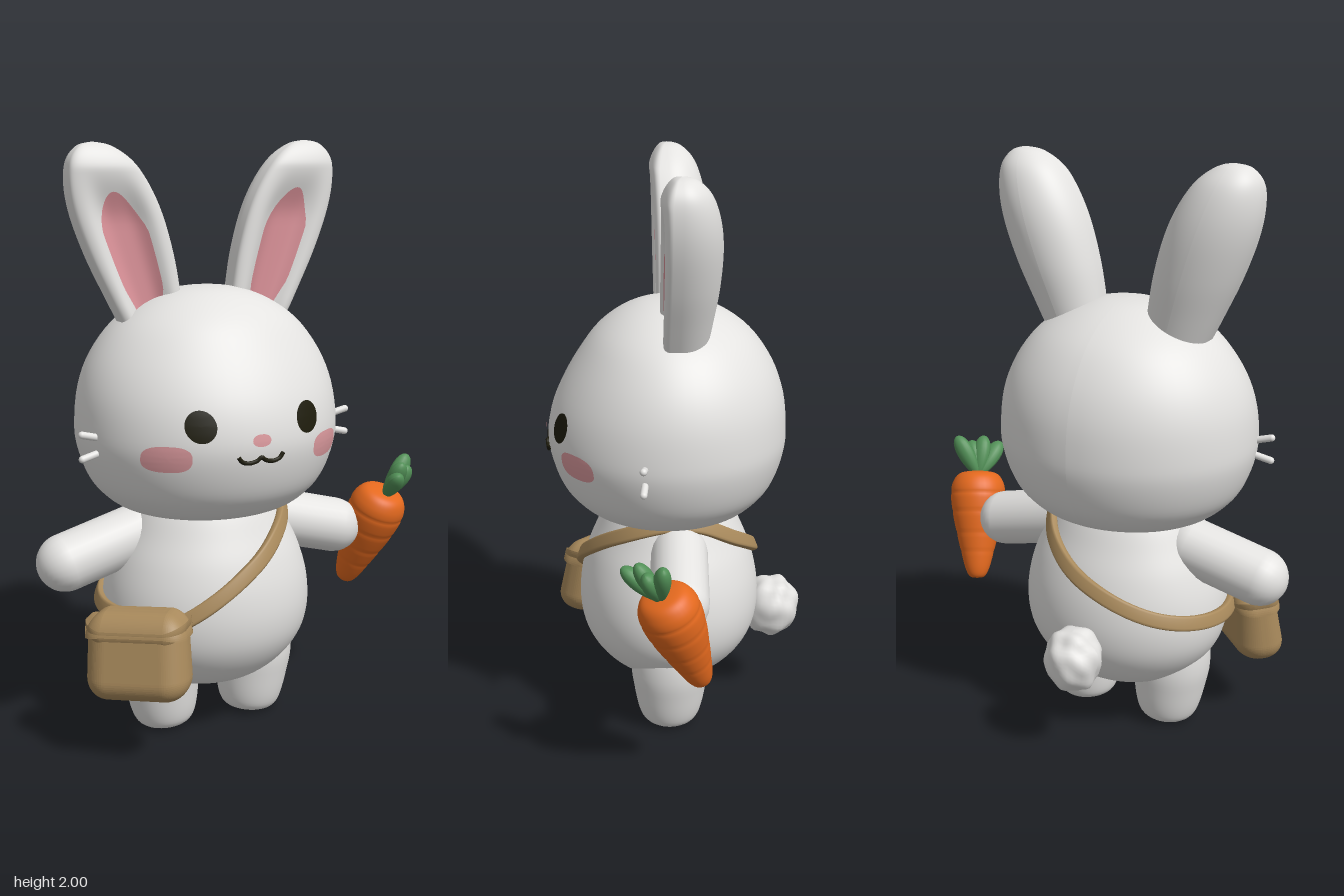
import * as THREE from 'three';
import { RoundedBoxGeometry } from 'three/addons/geometries/RoundedBoxGeometry.js';
import { ParametricGeometry } from 'three/addons/geometries/ParametricGeometry.js';

const V2 = (x, y) => new THREE.Vector2(x, y);
const V3 = (x, y, z) => new THREE.Vector3(x, y, z);
const UP = V3(0, 1, 0);

function material(name, color) {
  const m = new THREE.MeshStandardMaterial({ color });
  m.name = name;
  return m;
}

function add(parent, name, geometry, mat) {
  const mesh = new THREE.Mesh(geometry, mat);
  mesh.name = name;
  parent.add(mesh);
  return mesh;
}

// Smooth [radius, y] profile, listed from bottom to top
const profile = (pairs, n = 48) =>
  new THREE.SplineCurve(pairs.map(([r, y]) => V2(r, y))).getPoints(n).map(p => V2(Math.max(p.x, 0), p.y));

// Radius of a profile at height y
function radiusAt(points, y) {
  for (let i = 1; i < points.length; i++) {
    const a = points[i - 1], b = points[i];
    if (y <= b.y && b.y > a.y) return THREE.MathUtils.mapLinear(Math.max(y, a.y), a.y, b.y, a.x, b.x);
  }
  return points[points.length - 1].x;
}

// Move every vertex by a rule
function reshape(g, rule) {
  const p = g.attributes.position, v = V3();
  for (let i = 0; i < p.count; i++) {
    rule(v.fromBufferAttribute(p, i));
    p.setXYZ(i, v.x, v.y, v.z);
  }
  g.computeVertexNormals();
  return g;
}

const HEAD = profile([[0, 0.765], [0.19, 0.771], [0.3, 0.798], [0.37, 0.85], [0.412, 0.91], [0.443, 1.0], [0.45, 1.08],
  [0.437, 1.2], [0.395, 1.31], [0.32, 1.41], [0.22, 1.48], [0.11, 1.52], [0, 1.53]]);
const BODY = profile([[0, 0.148], [0.12, 0.157], [0.21, 0.188], [0.29, 0.25], [0.345, 0.33], [0.366, 0.42],
  [0.36, 0.52], [0.332, 0.62], [0.29, 0.71], [0.25, 0.79], [0.2, 0.86]]);
const EAR = profile([[0.1, 1.36], [0.125, 1.5], [0.145, 1.63], [0.151, 1.76], [0.138, 1.86], [0.106, 1.94], [0.055, 1.987], [0.002, 2.0]]);
const HEAD_Z = 0.025, HEAD_DEPTH = 0.922, BODY_Z = 0.02, BODY_DEPTH = 0.877;

// The forehead leans back above the cheeks
const lean = (z, y) => z > 0 ? z * (1 - 0.12 * THREE.MathUtils.smoothstep(y, 1.05, 1.4)) : z;
// Depth of the face at (x, y)
const faceZ = (x, y) => lean(HEAD_Z + HEAD_DEPTH * Math.sqrt(Math.max(radiusAt(HEAD, y) ** 2 - x * x, 0)), y);

// Thin patch that follows the face; power below 1 squares it off
function facePatch(cx, cy, rx, ry, power = 1, lift = 0.005) {
  const bend = t => Math.sign(t) * Math.abs(t) ** power;
  return reshape(new THREE.RingGeometry(0, 1, 40, 6), v => {
    const r = Math.hypot(v.x, v.y) || 1e-6;
    const x = cx + rx * r * bend(v.x / r), y = cy + ry * r * bend(v.y / r);
    v.set(x, y, faceZ(x, y) + lift);
  });
}

// Ear surface: c runs from -1 to 1 across its width, s is positive in front
function earPoint(side, y, c, s, target, lift = 0) {
  const w = radiusAt(EAR, y), cx = THREE.MathUtils.mapLinear(y, 1.36, 2, 0.172, 0.382);
  const dish = 0.045 * Math.exp(-((c / 0.58) ** 4)) * (1 - THREE.MathUtils.smoothstep(y, 1.74, 1.92));
  const z = s > 0 ? Math.min(0.064, w * 0.55) * s ** 0.3 - dish * s : 0.9 * w * s;
  target.set(side * cx + w * c, y, z + lift);
}

function earShell(side) {
  const n = EAR.length - 1;
  const g = new ParametricGeometry((u, v, t) => {
    const a = -u * Math.PI * 2 - Math.PI / 2;
    earPoint(side, EAR[Math.min(n, Math.round(v * n))].y, Math.cos(a), Math.sin(a), t);
  }, 64, n);
  g.computeVertexNormals();
  return g;
}

function earLining(side) {
  const g = new ParametricGeometry((u, v, t) => {
    const k = (1 - Math.cos(v * Math.PI)) / 2;
    const half = 0.52 * Math.min(1, Math.sqrt(Math.max(0, 1 - k) * 3.5)) * Math.min(1, 0.6 + k * 1.5);
    const c = (u * 2 - 1) * half;
    earPoint(side, 1.42 + 0.425 * k, c, Math.sqrt(1 - c * c), t, 0.005);
  }, 14, 24);
  g.computeVertexNormals();
  return g;
}

// Flat band wrapped round the body along [angle, y] stations
function strapGeometry(stations) {
  const path = new THREE.CatmullRomCurve3(stations.map(([a, y]) => V3(a, y, 0)));
  const at = v => {
    const q = path.getPoint(THREE.MathUtils.clamp(v, 0, 1)), r = radiusAt(BODY, q.y) + 0.012;
    return V3(r * Math.sin(q.x), q.y, BODY_Z + BODY_DEPTH * r * Math.cos(q.x));
  };
  const g = new ParametricGeometry((u, v, t) => {
    const p = at(v), tangent = at(v + 0.005).sub(at(v - 0.005)).normalize();
    const out = V3(p.x, 0.12, p.z - BODY_Z).normalize();
    const across = tangent.clone().cross(out).normalize();
    const a = -u * Math.PI * 2, bend = k => Math.sign(k) * Math.abs(k) ** 0.5;
    t.copy(p).addScaledVector(across, 0.026 * bend(Math.cos(a))).addScaledVector(out, 0.014 * bend(Math.sin(a)));
  }, 16, 96);
  g.computeVertexNormals();
  return g;
}

// Rod with round ends between two points
function capsule(parent, name, a, b, r, mat) {
  const m = add(parent, name, new THREE.CapsuleGeometry(r, a.distanceTo(b), 10, 24), mat);
  m.position.copy(a).lerp(b, 0.5);
  m.quaternion.setFromUnitVectors(UP, b.clone().sub(a).normalize());
}

export function createModel() {
  const fur = material('white fur', 0xe4e3e1), blush = material('blush pink', 0xdd9b9f);
  const pink = material('ear pink', 0xdb9299), dark = material('dark eyes', 0x1e1c0c);
  const tan = material('tan leather', 0xa98a5c);
  const orange = material('carrot orange', 0xe4691e), green = material('leaf green', 0x529057);
  const model = new THREE.Group();
  model.name = 'rabbit with bag and carrot';
  const rabbit = new THREE.Group();
  rabbit.name = 'rabbit';
  rabbit.position.x = -0.09;
  model.add(rabbit);

  // Head and body
  const skull = new THREE.LatheGeometry(HEAD, 64, Math.PI).scale(1, 1, HEAD_DEPTH).translate(0, 0, HEAD_Z);
  add(rabbit, 'head', reshape(skull, v => { v.z = lean(v.z, v.y); }), fur);
  const body = add(rabbit, 'body', new THREE.LatheGeometry(BODY, 64).scale(1, 1, BODY_DEPTH), fur);
  body.position.z = BODY_Z;

  // Paired parts
  const legProfile = profile([[0, 0], [0.055, 0.002], [0.093, 0.018], [0.113, 0.06], [0.128, 0.14], [0.138, 0.23], [0.125, 0.33], [0.08, 0.4]], 28);
  for (const side of [-1, 1]) {
    const label = side > 0 ? 'left' : 'right';
    add(rabbit, label + 'Ear', earShell(side), fur);
    add(rabbit, label + 'EarLining', earLining(side), pink);
    add(rabbit, label + 'Eye', facePatch(side * 0.188, 1.135, 0.047, 0.051), dark);
    add(rabbit, label + 'Cheek', facePatch(side * 0.283, 1.03, 0.067, 0.043, 0.75), blush);
    const leg = add(rabbit, label + 'Leg', new THREE.LatheGeometry(legProfile, 36), fur);
    leg.position.set(side * 0.164, 0, 0.028);
    leg.rotation.z = -side * 0.07;
    capsule(rabbit, label + 'Arm', V3(side * 0.26, 0.695, 0.0), V3(side * 0.512, 0.63, 0.015), 0.098, fur);
    for (const [y, tipY] of [[1.065, 1.085], [1.022, 1.005]])
      capsule(rabbit, label + 'Whisker', V3(side * 0.41, y, 0.12), V3(side * 0.485, tipY, 0.13), 0.012, fur);
  }

  // Nose and mouth
  add(rabbit, 'nose', facePatch(0, 1.085, 0.032, 0.02, 0.9, 0.009), blush);
  const mouthPath = [[-0.08, 1.038], [-0.065, 1.02], [-0.04, 1.014], [-0.015, 1.02], [0, 1.03],
    [0.015, 1.02], [0.04, 1.014], [0.065, 1.02], [0.08, 1.038]];
  const mouthCurve = new THREE.CatmullRomCurve3(mouthPath.map(([x, y]) => V3(x, y, faceZ(x, y) + 0.005)));
  add(rabbit, 'mouth', new THREE.TubeGeometry(mouthCurve, 48, 0.007, 8), dark);

  // Fluffy tail
  const fluff = reshape(new THREE.SphereGeometry(1, 36, 24), v => {
    const bump = 1 + 0.05 * Math.sin(7 * v.x + 1) * Math.sin(6 * v.y) + 0.04 * Math.sin(8 * v.z + 5 * v.y);
    v.multiply(V3(0.096, 0.112, 0.1)).multiplyScalar(bump);
  });
  add(rabbit, 'tail', fluff, fur).position.set(-0.005, 0.355, -0.36);

  // Strap over the left shoulder
  add(rabbit, 'strap', strapGeometry([[-0.8, 0.43], [-0.55, 0.47], [0.1, 0.62], [0.67, 0.725], [1.4, 0.795], [2.0, 0.785],
    [2.6, 0.7], [3.2, 0.6], [3.9, 0.5], [4.6, 0.46], [5.4, 0.46]]), tan);

  // Slouched shoulder bag, wider and deeper toward the bottom
  const bag = new THREE.Group();
  bag.name = 'bag';
  bag.position.set(-0.442, 0.367, 0.262);
  bag.rotation.set(0, -0.71, 0.06, 'YXZ');
  model.add(bag);
  const slouch = v => {
    v.x *= 1 - 0.25 * v.y;
    v.z = v.z * (1 - 0.9 * v.y) - 0.15 * v.y;
  };
  add(bag, 'bagPouch', reshape(new RoundedBoxGeometry(0.345, 0.29, 0.17, 10, 0.08), slouch), tan);
  add(bag, 'bagFlap', reshape(new RoundedBoxGeometry(0.355, 0.14, 0.186, 10, 0.068).translate(0, 0.083, 0), v => {
    v.y += (v.y < 0.083 ? 1.2 : -0.7) * v.x * v.x;
    slouch(v);
  }), tan);

  // Carrot held in the left paw
  const carrot = new THREE.Group();
  carrot.name = 'carrot';
  const tip = V3(0.515, 0.388, -0.055), crown = V3(0.598, 0.765, 0.09);
  carrot.position.copy(tip);
  carrot.quaternion.setFromUnitVectors(UP, crown.clone().sub(tip).normalize());
  model.add(carrot);
  const root = profile([[0, 0], [0.026, 0.005], [0.044, 0.035], [0.062, 0.1], [0.079, 0.17], [0.094, 0.24], [0.102, 0.31],
    [0.095, 0.36], [0.066, 0.395], [0, 0.405]], 80);
  // shallow rings pressed into the root
  for (const p of root) for (const y of [0.1, 0.17, 0.25, 0.32]) p.x *= 1 - 0.025 * Math.exp(-(((p.y - y) / 0.006) ** 2));
  add(carrot, 'carrotRoot', new THREE.LatheGeometry(root, 36), orange);

  // Carrot leaves, fuller toward the tip
  const leafBase = V3(0.6, 0.735, 0.09);
  for (const [x, y, z] of [[0.69, 0.88, 0.085], [0.665, 0.85, 0.14], [0.62, 0.87, 0.165], [0.575, 0.84, 0.21]]) {
    const end = V3(x, y, z), length = end.distanceTo(leafBase);
    const blade = reshape(new THREE.SphereGeometry(1, 20, 14), v => {
      const full = 1 + 0.25 * v.y;
      v.set(v.x * 0.033 * full, v.y * length / 2, v.z * 0.028 * full);
    });
    const leaf = add(model, 'carrotLeaf', blade, green);
    leaf.position.copy(leafBase).lerp(end, 0.5);
    leaf.quaternion.setFromUnitVectors(UP, end.sub(leafBase).normalize());
  }
  return model;
}
